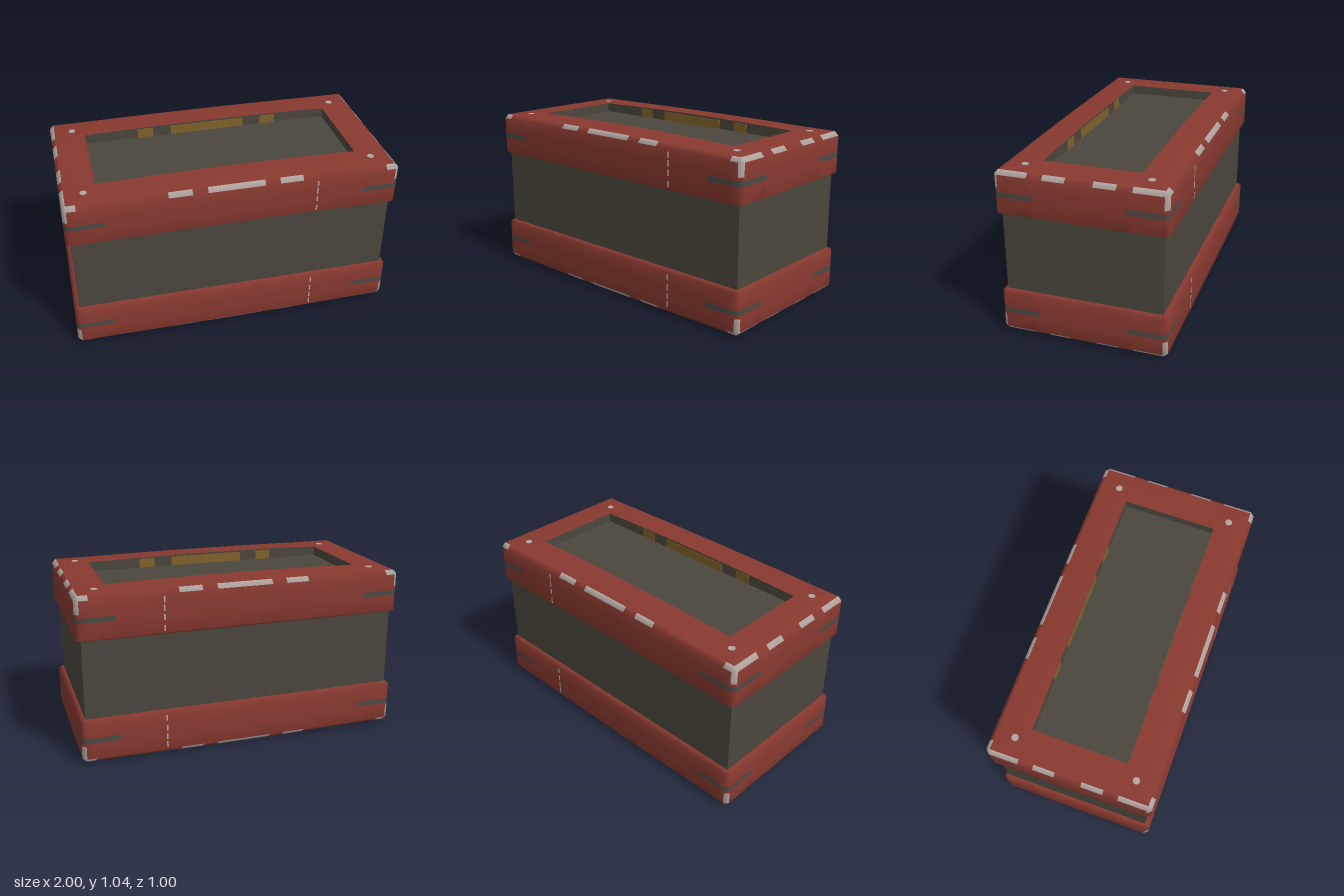
import * as THREE from 'three';

const paint = (name, color) => {
  const m = new THREE.MeshStandardMaterial({ color });
  m.name = name;
  return m;
};

// Stations around the rectangular ring, counter-clockwise seen from above
function ringStations() {
  const long = [-0.975, -0.92, -0.77, -0.6, -0.4, -0.26, -0.17, 0, 0.17, 0.26, 0.4, 0.6, 0.77, 0.92, 0.975];
  const short = [0.475, 0.3, 0.27, 0.21, 0.08, -0.08, -0.21, -0.27, -0.3, -0.475];
  const half = [
    ...long.map(x => ({ x, z: 0.5, side: 'long' })),
    ...short.map(z => ({ x: 1, z, side: 'short' })),
  ];
  return [...half, ...half.map(s => ({ x: -s.x, z: -s.z, side: s.side }))];
}

// Sweep rows of {inset, y, bump} round the ring; pick(row, side, mid) gives a material index
function sweepRing(rows, materials, pick) {
  const st = ringStations(), n = st.length;
  const pos = [], faces = materials.map(() => []);
  for (const r of rows) {
    for (const s of st) {
      const x = THREE.MathUtils.clamp(s.x, r.inset - 1, 1 - r.inset);
      const z = THREE.MathUtils.clamp(s.z, r.inset - 0.5, 0.5 - r.inset);
      // long rails swell slightly towards their middle
      const swell = s.side === 'long' ? Math.max(0, 1 - (x / 0.79) ** 2) : 0;
      pos.push(x, r.y + r.bump * swell, z);
    }
  }
  for (let i = 0; i < rows.length - 1; i++) {
    for (let j = 0; j < n; j++) {
      const k = (j + 1) % n;
      const side = st[j].side === st[k].side ? st[j].side : 'corner';
      const mid = Math.abs(side === 'long' ? st[j].x + st[k].x : st[j].z + st[k].z) / 2;
      const a = i * n + j, b = i * n + k, c = b + n, d = a + n;
      faces[pick(i, side, mid)].push(a, b, c, a, c, d);
    }
  }
  const geo = new THREE.BufferGeometry();
  geo.setAttribute('position', new THREE.Float32BufferAttribute(pos, 3));
  geo.setIndex(faces.flat());
  let start = 0;
  faces.forEach((f, m) => {
    geo.addGroup(start, f.length, m);
    start += f.length;
  });
  geo.computeVertexNormals();
  return new THREE.Mesh(geo, materials);
}

export function createModel() {
  const red = paint('red frame paint', 0x88392f);
  const dark = paint('dark body', 0x4b463d);
  const wear = paint('bare worn metal', 0xb3a6a2);
  const bar = paint('grey bracket', 0x4c4a46);
  const yellow = paint('yellow marking', 0x80622a);

  const model = new THREE.Group();
  const plate = (parent, name, mat, w, h, d, x, y, z) => {
    const m = new THREE.Mesh(new THREE.BoxGeometry(w, h, d), mat);
    m.name = name;
    m.position.set(x, y, z);
    parent.add(m);
  };

  // Core of the crate
  plate(model, 'body', dark, 1.94, 0.9, 0.94, 0, 0.52, 0);

  function makeFrame(name) {
    const frame = new THREE.Group();
    frame.name = name;

    // Outer shell: lip, chamfer, wall, bracket band, worn bevel, top face
    const shell = sweepRing([
      { inset: 0.06, y: 0.757, bump: 0 },
      { inset: 0.025, y: 0.757, bump: 0 },
      { inset: 0, y: 0.77, bump: 0.005 },
      { inset: 0, y: 0.87, bump: 0 },
      { inset: 0, y: 0.9, bump: 0 },
      { inset: 0, y: 0.92, bump: 0 },
      { inset: 0, y: 1.0, bump: 0.005 },
      { inset: 0.025, y: 1.025, bump: 0.006 },
      { inset: 0.21, y: 1.028, bump: 0.012 },
    ], [red, wear, bar], (row, side, m) => {
      const corner = side === 'corner';
      if (row === 3 && (corner || m > (side === 'long' ? 0.77 : 0.27))) return 2;
      if (row === 5 && corner) return 1;
      if (row === 6) {
        const worn = side === 'long'
          ? m > 0.92 || m < 0.17 || (m > 0.26 && m < 0.4)
          : m > 0.3 || (m > 0.08 && m < 0.21);
        if (corner || worn) return 1;
      }
      return 0;
    });
    shell.name = 'frameShell';
    frame.add(shell);

    // Walls of the recessed opening
    const walls = sweepRing([
      { inset: 0.21, y: 1.028, bump: 0.012 },
      { inset: 0.21, y: 0.965, bump: 0 },
    ], [dark], () => 0);
    walls.name = 'recessWalls';
    frame.add(walls);

    for (const s of [-1, 1]) {
      // Markings on the long recess walls
      for (const [x, w] of [[-0.405, 0.1], [0, 0.48], [0.405, 0.1]]) {
        plate(frame, 'recessMarking', yellow, w, 0.058, 0.004, x, 0.999, s * 0.289);
      }
      // Thin scratched seam on the long sides
      for (const y of [0.8, 0.865, 0.92, 0.97]) {
        plate(frame, 'seamScratch', wear, 0.009, 0.036, 0.004, 0.49, y, s * 0.5);
      }
      // Rivets near the corners
      for (const t of [-1, 1]) {
        const rivet = new THREE.Mesh(new THREE.CylinderGeometry(0.021, 0.021, 0.006, 12), wear);
        rivet.name = 'rivet';
        rivet.position.set(t * 0.865, 1.026, s * 0.365);
        frame.add(rivet);
      }
    }
    return frame;
  }

  model.add(makeFrame('topFrame'));

  // Same frame turned over for the base
  const base = makeFrame('bottomFrame');
  base.rotation.x = Math.PI;
  base.position.y = 1.04;
  model.add(base);

  return model;
}
